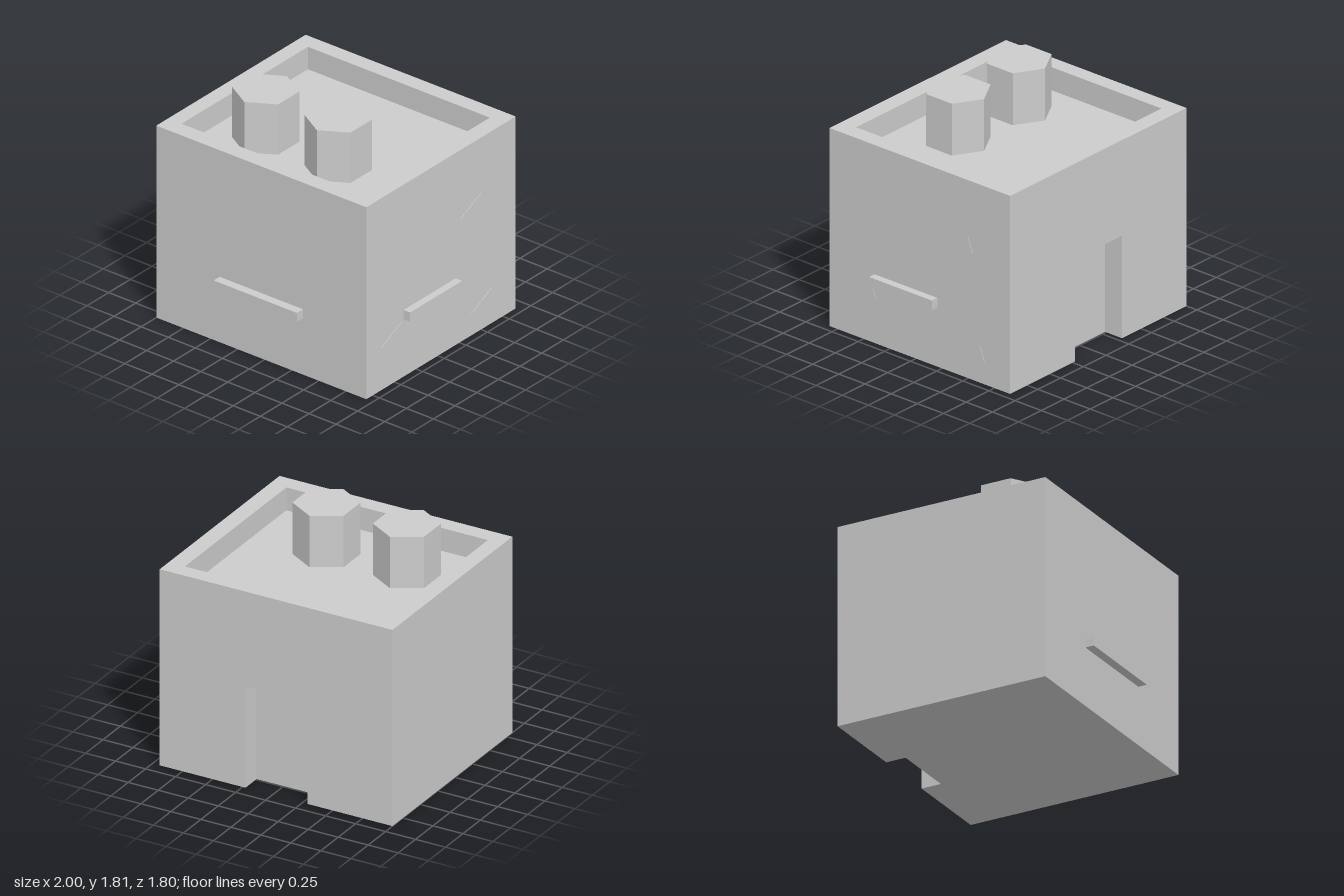
import * as THREE from 'three';
import { mergeGeometries } from 'three/addons/utils/BufferGeometryUtils.js';

// Main dimensions
const X0 = -1, X1 = 0.94, Z0 = -0.9, Z1 = 0.825, H = 1.585;      // block
const RX0 = -0.875, RX1 = 0.805, RZ0 = -0.77, RZ1 = 0.69, ROOF = 1.4; // sunken roof
const DX0 = -0.29, DX1 = 0.225, DH = 0.82, DZ = Z0 + 0.16;       // doorway niche

const shapeOf = (pts) => new THREE.Shape(pts.map(([x, y]) => new THREE.Vector2(x, y)));
const rect = (x0, y0, x1, y1) => [[x0, y0], [x1, y0], [x1, y1], [x0, y1]];
const flat = (pts) => new THREE.ShapeGeometry(shapeOf(pts));

// Upright rectangles facing along z (dir = 1 or -1) or along x
const faceZ = (x0, x1, y0, y1, z, dir) =>
  new THREE.PlaneGeometry(x1 - x0, y1 - y0)
    .rotateY(dir > 0 ? 0 : Math.PI).translate((x0 + x1) / 2, (y0 + y1) / 2, z);
const faceX = (z0, z1, y0, y1, x, dir) =>
  new THREE.PlaneGeometry(z1 - z0, y1 - y0)
    .rotateY(dir * Math.PI / 2).translate(x, (y0 + y1) / 2, (z0 + z1) / 2);

export function createModel() {
  const group = new THREE.Group();
  const grey = new THREE.MeshStandardMaterial({ color: 0xcccccc });
  grey.name = 'plainGrey';
  const add = (name, geometry, x = 0, y = 0, z = 0) => {
    const mesh = new THREE.Mesh(geometry, grey);
    mesh.name = name;
    mesh.position.set(x, y, z);
    group.add(mesh);
    return mesh;
  };

  // Outer walls; the back one is cut by the doorway
  const back = flat([[-X1, 0], [-DX1, 0], [-DX1, DH], [-DX0, DH], [-DX0, 0], [-X0, 0], [-X0, H], [-X1, H]]);
  add('walls', mergeGeometries([
    faceZ(X0, X1, 0, H, Z1, 1),
    faceX(Z0, Z1, 0, H, X1, 1),
    faceX(Z0, Z1, 0, H, X0, -1),
    back.rotateY(Math.PI).translate(0, 0, Z0),
  ]));

  // Underside, notched at the doorway
  add('base', flat([[X0, Z0], [DX0, Z0], [DX0, DZ], [DX1, DZ], [DX1, Z0], [X1, Z0], [X1, Z1], [X0, Z1]])
    .rotateX(Math.PI / 2));

  // Doorway niche: door, jambs and lintel
  add('doorway', mergeGeometries([
    faceZ(DX0, DX1, 0, DH, DZ, -1),
    faceX(Z0, DZ, 0, DH, DX0, 1),
    faceX(Z0, DZ, 0, DH, DX1, -1),
    flat(rect(DX0, Z0, DX1, DZ)).rotateX(Math.PI / 2).translate(0, DH, 0),
  ]));

  // Parapet: rim and inner faces around the sunken roof
  const rim = shapeOf(rect(X0, -Z1, X1, -Z0));
  rim.holes.push(shapeOf(rect(RX0, -RZ1, RX1, -RZ0)));
  add('parapet', mergeGeometries([
    new THREE.ShapeGeometry(rim).rotateX(-Math.PI / 2).translate(0, H, 0),
    faceZ(RX0, RX1, ROOF, H, RZ0, 1),
    faceZ(RX0, RX1, ROOF, H, RZ1, -1),
    faceX(RZ0, RZ1, ROOF, H, RX0, 1),
    faceX(RZ0, RZ1, ROOF, H, RX1, -1),
  ]));
  add('roof', flat(rect(RX0, -RZ1, RX1, -RZ0)).rotateX(-Math.PI / 2), 0, ROOF, 0);

  // Two six-sided chimneys
  const chimney = new THREE.CylinderGeometry(0.246, 0.246, 0.415, 6).toNonIndexed();
  chimney.computeVertexNormals();
  for (const [name, x] of [['rightChimney', -0.465], ['leftChimney', 0.205]]) {
    add(name, chimney, x, ROOF + 0.2075, 0.232);
  }

  // Ledges on the front and left walls
  add('frontLedge', new THREE.BoxGeometry(0.77, 0.075, 0.07), -0.03, 0.5025, Z1 + 0.035);
  add('sideLedge', new THREE.BoxGeometry(0.06, 0.075, 0.6), X1 + 0.03, 0.5125, 0.095);

  // Thin triangular chips on the left wall
  const chip = new THREE.ExtrudeGeometry(shapeOf([[0, 0], [0.278, 0], [0.237, 0.116]]),
    { depth: 0.004, bevelEnabled: false }).rotateY(Math.PI / 2);
  [[1.017, -0.262], [0.35, 0.655], [0.178, -0.378]].forEach(([y, z], i) => {
    add('wallChip' + (i + 1), chip, X1, y, z);
  });

  return group;
}
